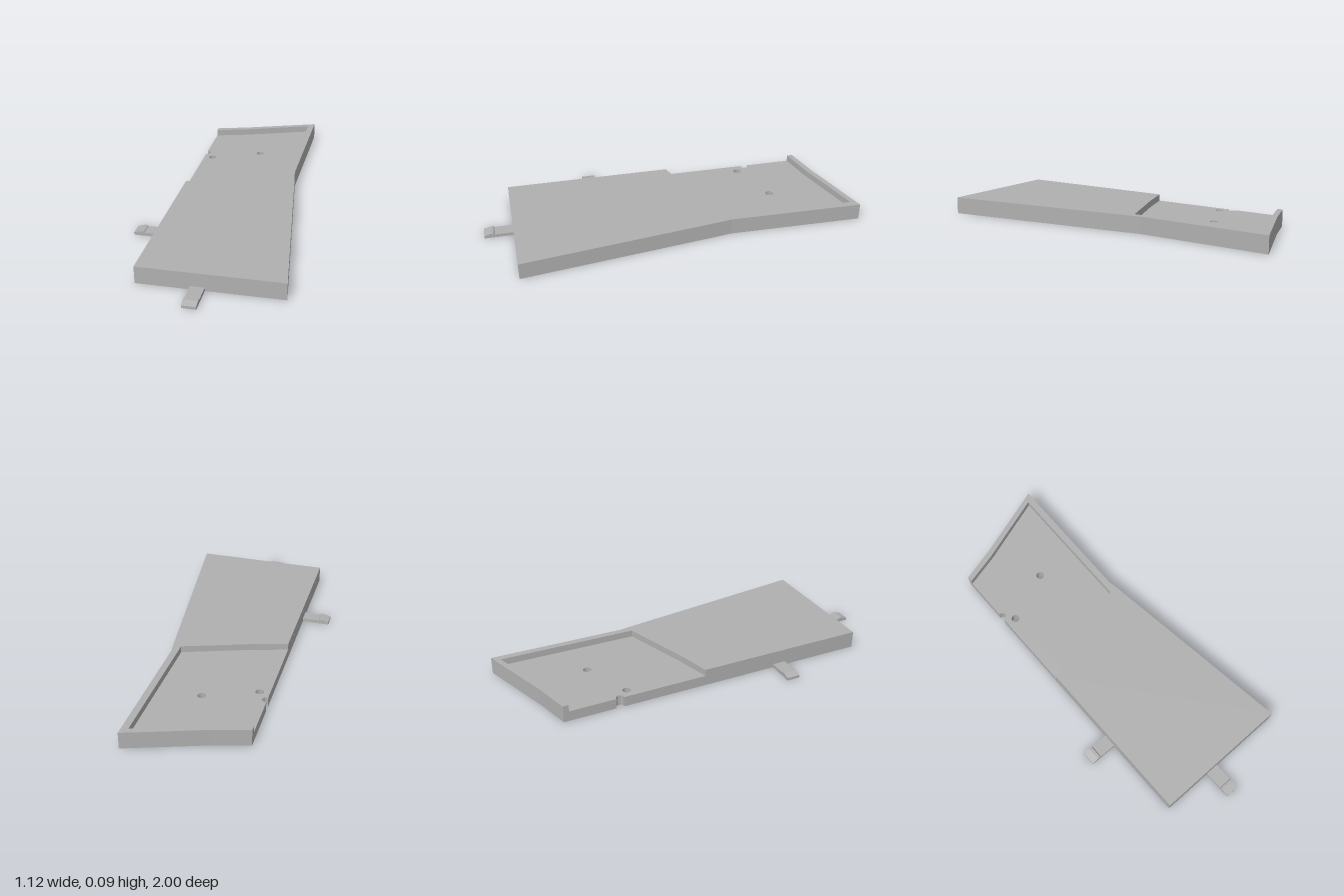
import * as THREE from 'three';

const grey = new THREE.MeshStandardMaterial({ color: 0xb0b0b0 });
grey.name = 'grey plastic';

const TOP = 0.09, FLOOR = 0.054, TILT = 0.267;

const points = (list) => list.map(([x, z]) => new THREE.Vector2(x, z));

// Extrudes a plan drawn in (x, z) between two heights
function slab(name, outline, holes, y0, y1) {
  const shape = new THREE.Shape(points(outline));
  shape.holes = holes;
  const geo = new THREE.ExtrudeGeometry(shape, { depth: y1 - y0, bevelEnabled: false, curveSegments: 10 });
  geo.rotateX(Math.PI / 2).translate(0, y1, 0);
  const mesh = new THREE.Mesh(geo, grey);
  mesh.name = name;
  return mesh;
}

// Flat clip with a raised wedge near its tip; local x runs from the tip inward
function clip(name, x, z, angle) {
  const profile = new THREE.Shape(points([
    [0, 0], [0.153, 0], [0.153, 0.018], [0.056, 0.018], [0.05, 0.024], [0.035, 0.024], [0, 0.014],
  ]));
  const geo = new THREE.ExtrudeGeometry(profile, { depth: 0.07, bevelEnabled: false });
  geo.translate(0, 0, -0.035);
  const mesh = new THREE.Mesh(geo, grey);
  mesh.name = name;
  mesh.position.set(x, 0, z);
  mesh.rotation.y = angle;
  return mesh;
}

// Six cells under the front half, left between one spine and two cross ribs
function pocketCells() {
  const half = 0.015, spine = 0.09, cross = [0.44, 0.04];
  const right = (z) => 0.117 + (z + 0.228) * 0.4077;
  const left = (z) => -0.197 + z * 0.2857;
  const front = (x) => 0.7 - (x - 0.003) * 0.273;
  const back = (x) => -(x + 0.197) * 0.726;
  const cells = [];
  for (const [side, edge, frontCorner, backCorner] of [
    [1, right, [0.446, 0.579], [0.117, -0.228]],
    [-1, left, [0.003, 0.7], [-0.197, 0]],
  ]) {
    const x = spine + side * half;
    const [a, b, c, d] = [cross[0] + half, cross[0] - half, cross[1] + half, cross[1] - half];
    cells.push(
      [[x, front(x)], frontCorner, [edge(a), a], [x, a]],
      [[x, b], [edge(b), b], [edge(c), c], [x, c]],
      [[x, d], [edge(d), d], backCorner, [x, back(x)]],
    );
  }
  return cells.map((c) => new THREE.Path(points(c)));
}

export function createModel() {
  const model = new THREE.Group();
  model.name = 'angledBase';

  // Outer edge from the front corner round to the back corner
  const edge = [[-0.13, 0.925], [0.56, 0.73], [0.147, -0.25], [0.12, -0.31],
    [-0.057, -1], [-0.4, -0.765], [-0.565, -0.665]];
  const notch = [[-0.494, -0.405], [-0.478, -0.406], [-0.466, -0.396],
    [-0.464, -0.382], [-0.47, -0.37], [-0.483, -0.365]];
  const screwHoles = [[-0.2, -0.52], [-0.425, -0.345]].map(([x, z]) =>
    new THREE.Path().absarc(x, z, 0.021, 0, Math.PI * 2));

  // Lower plate with screw holes, edge notch and ribbed underside
  model.add(slab('lowerPlate', [...edge, ...notch], [...screwHoles, ...pocketCells()], 0, FLOOR));

  // Raised front deck joined to the thin rim round the recess
  const recess = [[-0.557, -0.637], [-0.4, -0.73], [-0.08, -0.95],
    [0.1, -0.25], [-0.21, -0.035], [-0.366, 0.062]];
  model.add(slab('deckAndRim', [...edge, ...recess], [], FLOOR, TOP));

  // Clips on the side and the front
  model.add(clip('sideClip', -0.391, 0.518, TILT));
  model.add(clip('frontClip', 0.199, 0.99, Math.PI / 2 + TILT));
  return model;
}
